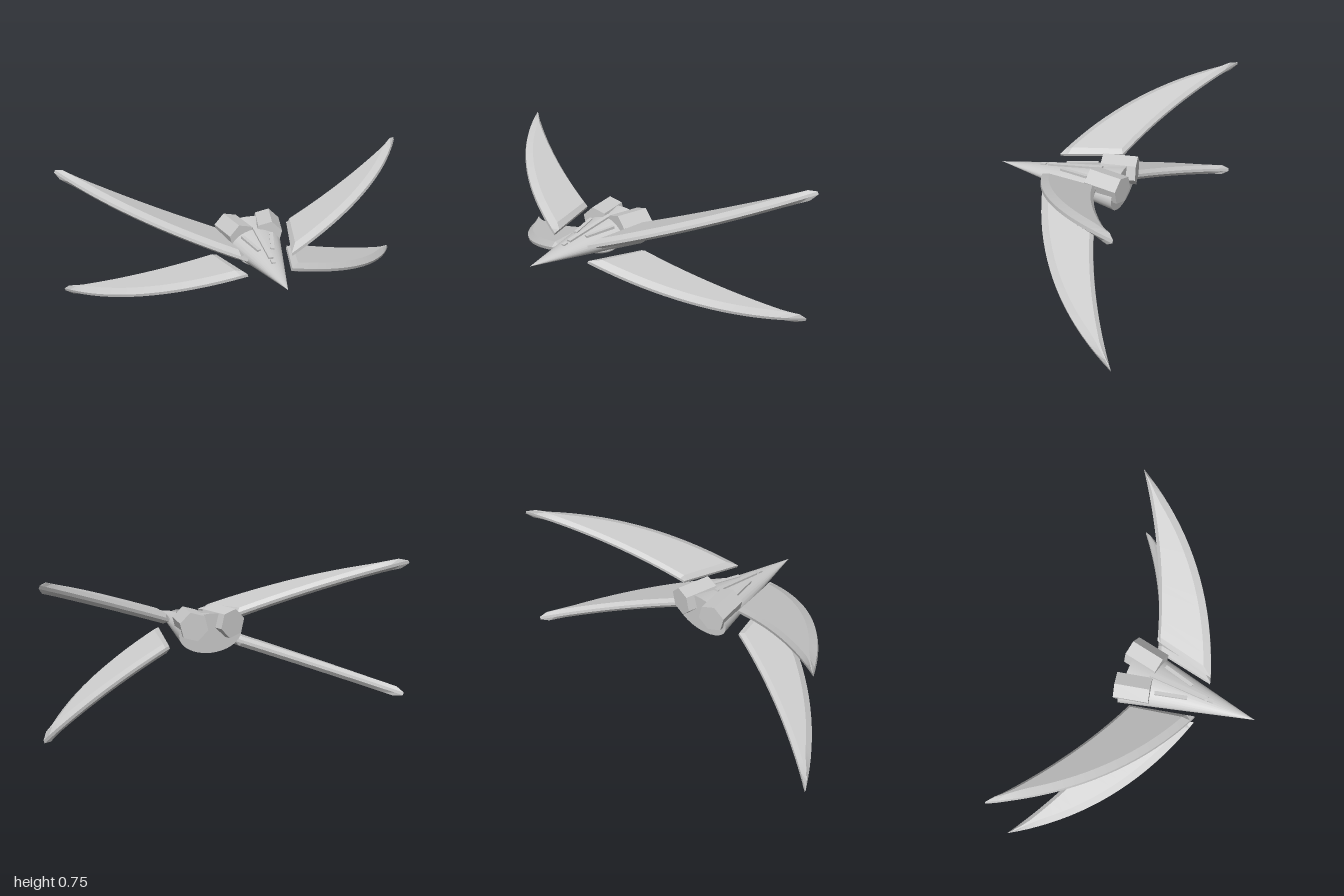
import * as THREE from 'three';
import { toCreasedNormals } from 'three/addons/utils/BufferGeometryUtils.js';

const MID = 0.374;          // height of the hull axis
const SLOPE = 0.36;         // rise of the wings per unit of x
const TILT = Math.atan(SLOPE);
const NOSE = 0.52, TAIL = -0.2, HULL_X = 0.18, HULL_Y = 0.105;

const grey = new THREE.MeshStandardMaterial({ color: 0xcccccc });
const flat = new THREE.MeshStandardMaterial({ color: 0xcccccc, flatShading: true });

function add(group, name, geometry, material = grey) {
  const mesh = new THREE.Mesh(geometry, material);
  mesh.name = name;
  group.add(mesh);
  return mesh;
}

// Point on the top of the hull cone
function hullTop(x, z) {
  const k = (NOSE - z) / (NOSE - TAIL);
  const q = x / (HULL_X * k);
  return new THREE.Vector3(x, MID + HULL_Y * k * Math.sqrt(Math.max(0, 1 - q * q)), z);
}

// Swept sickle blade: eight-point bevelled sections lofted from root to tip
function wingGeometry() {
  const v = (x, z) => new THREE.Vector2(x / Math.cos(TILT), z);
  const lead = new THREE.QuadraticBezierCurve(v(0.12, 0.22), v(0.7, 0.0125), v(1, -0.525));
  const trail = new THREE.QuadraticBezierCurve(v(0.2, -0.12), v(0.62, -0.25), v(1, -0.525));
  const rows = [0];
  for (let i = 0; i <= 18; i++) rows.push(0.03 + (0.925 * i) / 18);
  rows.push(1);
  const positions = [], index = [], N = 8;

  rows.forEach((t, r) => {
    const end = r === 0 || r === rows.length - 1;
    const L = lead.getPoint(t), T = trail.getPoint(t);
    const chord = Math.max(L.distanceTo(T), 1e-6);
    const edge = 0.008, half = end ? edge : 0.027;
    const a = Math.min(0.045 / chord, 0.5), b = 1 - Math.min(0.02 / chord, 0.3);
    const top = [[0, edge], [a, half], [b, half], [1, edge]];
    const ring = [...top, ...top.slice().reverse().map(([s, h]) => [s, -h])];
    for (const [s, h] of ring) {
      const p = L.clone().lerp(T, s);
      positions.push(p.x, h, p.y);
    }
  });
  for (let r = 0; r < rows.length - 1; r++) {
    for (let j = 0; j < N; j++) {
      const a = r * N + j, d = r * N + ((j + 1) % N);
      index.push(a, a + N, d + N, a, d + N, d);
    }
  }
  // Root cap
  for (let j = 1; j < N - 1; j++) index.push(0, j, j + 1);

  const geometry = new THREE.BufferGeometry();
  geometry.setAttribute('position', new THREE.Float32BufferAttribute(positions, 3));
  geometry.setIndex(index);
  return toCreasedNormals(geometry, 0.25);
}

// Slim bar lying along the hull between two points
function addBar(group, name, from, to, width, height) {
  const bar = add(group, name, new THREE.BoxGeometry(width, height, from.distanceTo(to)));
  bar.position.copy(from).lerp(to, 0.5);
  bar.lookAt(to);
}

export function createModel() {
  const model = new THREE.Group();
  model.name = 'fighterCraft';

  // Flattened cone hull
  const cone = new THREE.ConeGeometry(1, NOSE - TAIL, 32);
  cone.rotateX(Math.PI / 2);
  cone.scale(HULL_X, HULL_Y, 1);
  add(model, 'hull', cone).position.set(0, MID, (NOSE + TAIL) / 2);

  // Shallow belly dome
  const dome = new THREE.SphereGeometry(1, 24, 12);
  dome.scale(0.1, 0.03, 0.1);
  add(model, 'bellyDome', dome).position.set(0, 0.322, 0);

  // Raised spine and small nose block
  addBar(model, 'spine', hullTop(0, -0.08), hullTop(0, 0.235), 0.024, 0.02);
  addBar(model, 'noseBlock', hullTop(0, 0.25), hullTop(0, 0.28), 0.02, 0.015);

  for (const s of [1, -1]) {
    const side = s > 0 ? 'left' : 'right';

    // Ribs fanning out beside the spine
    addBar(model, side + 'Rib', hullTop(s * 0.08, -0.025), hullTop(s * 0.037, 0.145), 0.02, 0.018);

    // Six-sided engine, splayed outwards
    const hex = new THREE.CylinderGeometry(0.078, 0.078, 0.19, 6);
    hex.rotateX(Math.PI / 2);
    hex.rotateZ(-s * 0.25);
    const engine = add(model, side + 'Engine', hex, flat);
    engine.position.set(s * 0.092, 0.423, -0.143);
    engine.rotation.y = -s * 0.2;
  }

  // Four crossed wings
  const wing = wingGeometry();
  const angles = {
    leftUpperWing: TILT,
    leftLowerWing: -TILT,
    rightUpperWing: Math.PI - TILT,
    rightLowerWing: Math.PI + TILT,
  };
  for (const [name, angle] of Object.entries(angles)) {
    const mesh = add(model, name, wing);
    mesh.position.y = MID;
    mesh.rotation.z = angle;
  }
  return model;
}
